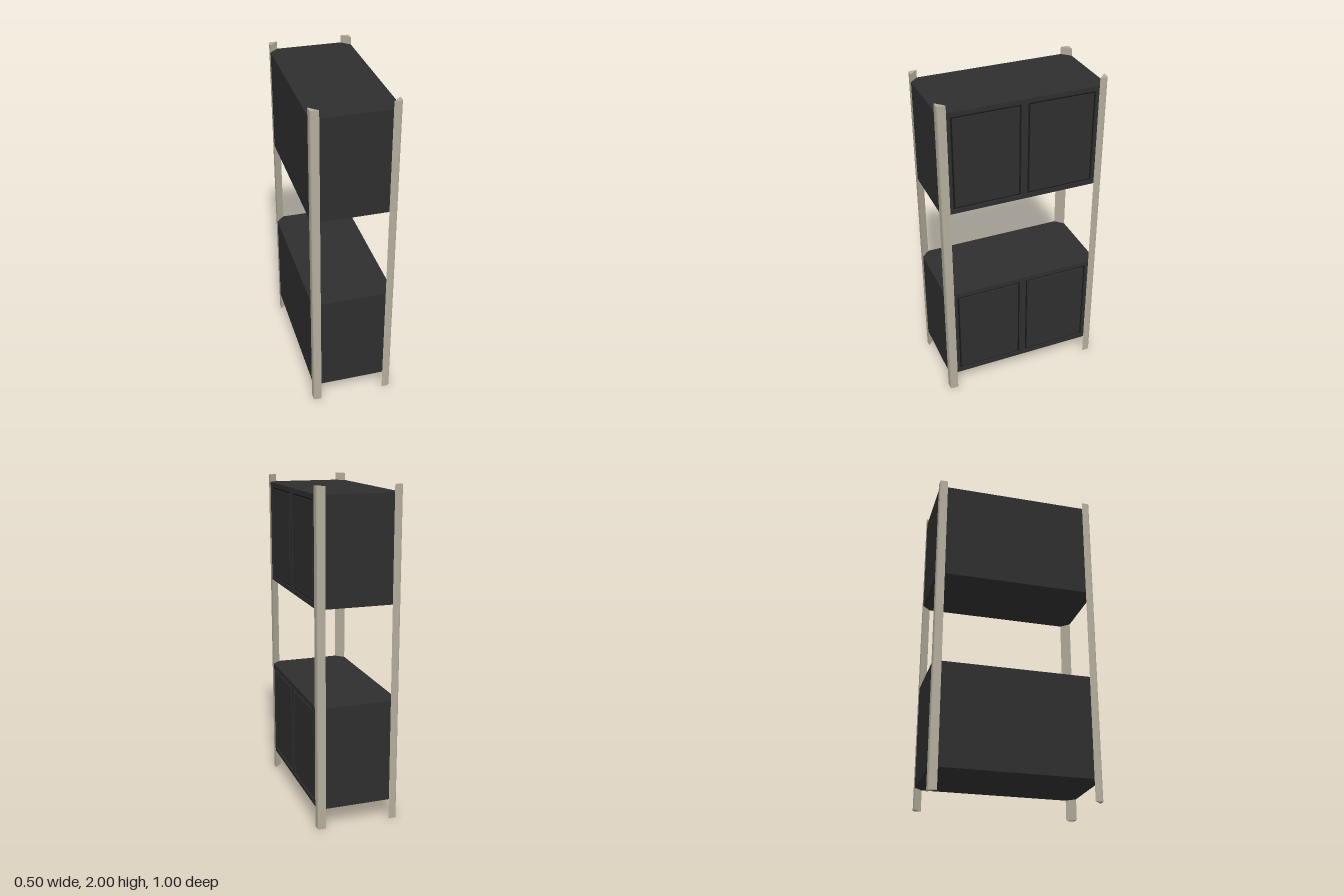
import * as THREE from 'three';

const HX = 0.25, HZ = 0.5, CUT = 0.05;   // half width, half depth, corner chamfer
const GROOVE = 0.01;                     // depth of the door grooves
const CABINET_H = 0.626;

const cabinetMat = new THREE.MeshStandardMaterial({ color: 0x2e2e2e });
cabinetMat.name = 'charcoal';
const grooveMat = new THREE.MeshStandardMaterial({ color: 0x161616 });
grooveMat.name = 'black groove';
const postMat = new THREE.MeshStandardMaterial({ color: 0xb2ac9b });
postMat.name = 'warm grey';

function add(parent, name, geometry, material) {
  const mesh = new THREE.Mesh(geometry, material);
  mesh.name = name;
  parent.add(mesh);
  return mesh;
}

// Extrudes a plan drawn in (x, -z) upward along y
function extrudeUp(shape, height) {
  return new THREE.ExtrudeGeometry(shape, { depth: height, bevelEnabled: false, curveSegments: 5 })
    .rotateX(-Math.PI / 2);
}

function rect(path, x0, y0, x1, y1) {
  path.moveTo(x0, y0);
  path.lineTo(x1, y0);
  path.lineTo(x1, y1);
  path.lineTo(x0, y1);
  path.closePath();
  return path;
}

function createCabinet(name) {
  const cabinet = new THREE.Group();
  cabinet.name = name;
  const face = HX - GROOVE;              // plane at the bottom of the grooves
  const faceZ = HZ - CUT + GROOVE;       // where that plane meets the chamfer

  // Body with chamfered corners
  const plan = new THREE.Shape([
    [face, -faceZ], [face, faceZ], [HX - CUT, HZ], [CUT - HX, HZ],
    [-HX, HZ - CUT], [-HX, CUT - HZ], [CUT - HX, -HZ], [HX - CUT, -HZ],
  ].map(([x, y]) => new THREE.Vector2(x, y)));
  add(cabinet, 'body', extrudeUp(plan, CABINET_H), cabinetMat);

  // Door frame with two openings, its ends following the chamfer
  const doors = [[-0.43, -0.02], [0.02, 0.43]];
  const y0 = 0.028, y1 = CABINET_H - 0.028;
  const frame = rect(new THREE.Shape(), CUT - HZ, 0, HZ - CUT, CABINET_H);
  for (const [a, b] of doors) frame.holes.push(rect(new THREE.Path(), a, y0, b, y1));
  const frameGeo = new THREE.ExtrudeGeometry(frame, { depth: GROOVE, bevelEnabled: false })
    .rotateY(Math.PI / 2).translate(face, 0, 0);
  const p = frameGeo.attributes.position;
  for (let i = 0; i < p.count; i++) {
    if (Math.abs(p.getZ(i)) > 0.449 && p.getX(i) < face + 0.001) {
      p.setZ(i, Math.sign(p.getZ(i)) * faceZ);
    }
  }
  frameGeo.computeVertexNormals();
  add(cabinet, 'doorFrame', frameGeo, cabinetMat);

  // Doors set flush in the openings, with a dark gap around each
  for (const [a, b] of doors) {
    const w = b - a, h = y1 - y0, gap = 0.012;
    const z = (a + b) / 2, y = (y0 + y1) / 2;
    add(cabinet, 'doorGap', new THREE.BoxGeometry(0.002, h, w), grooveMat)
      .position.set(face + 0.001, y, z);
    add(cabinet, 'door', new THREE.BoxGeometry(GROOVE, h - 2 * gap, w - 2 * gap), cabinetMat)
      .position.set(face + GROOVE / 2, y, z);
  }
  return cabinet;
}

// Triangular corner post with a rounded outer edge; sx, sz pick the corner
function createPost(sx, sz) {
  const r = 0.014, shape = new THREE.Shape();
  shape.moveTo(sx * (HX - CUT), -sz * HZ);
  shape.lineTo(sx * (HX - r), -sz * HZ);
  shape.quadraticCurveTo(sx * HX, -sz * HZ, sx * HX, -sz * (HZ - r));
  shape.lineTo(sx * HX, -sz * (HZ - CUT));
  shape.closePath();
  return extrudeUp(shape, 2);
}

export function createModel() {
  const model = new THREE.Group();
  model.name = 'twoTierCabinet';

  const lower = createCabinet('lowerCabinet');
  lower.position.y = 0.127;
  const upper = createCabinet('upperCabinet');
  upper.position.y = 1.329;
  model.add(lower, upper);

  for (const [sx, side] of [[1, 'Left'], [-1, 'Right']]) {
    for (const [sz, end] of [[1, 'front'], [-1, 'back']]) {
      add(model, `${end}${side}Post`, createPost(sx, sz), postMat);
    }
  }
  return model;
}
